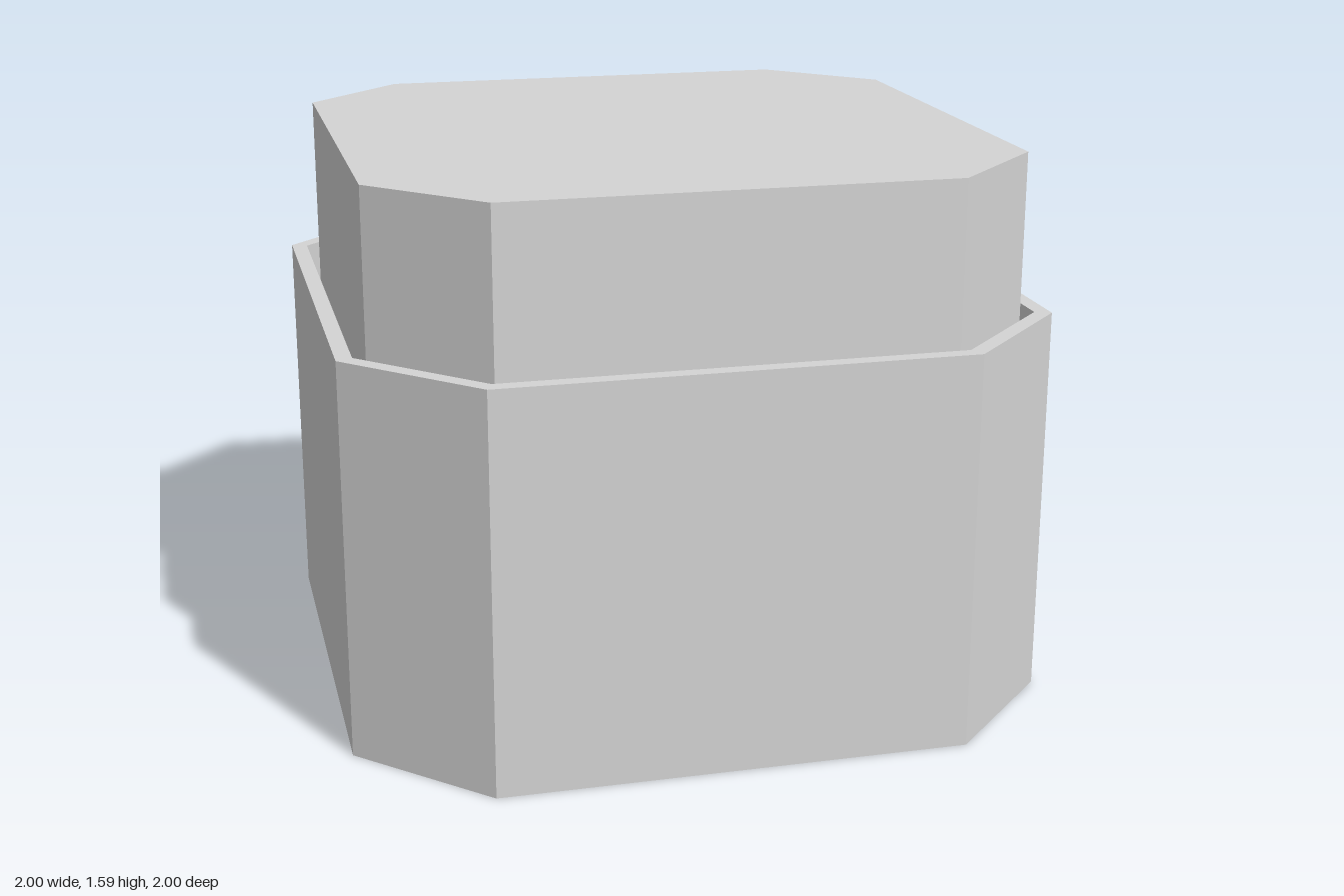
import * as THREE from 'three';

// Square outline with cut corners: half width w, half length f of each flat side
function octagon(Type, w, f) {
  const points = [
    [w, -f], [w, f], [f, w], [-f, w], [-w, f], [-w, -f], [-f, -w], [f, -w],
  ].map(([x, y]) => new THREE.Vector2(x, y));
  return new Type(points);
}

// Upright prism from height y0 to y1
function prism(name, shape, y0, y1, material) {
  const geometry = new THREE.ExtrudeGeometry(shape, { depth: y1 - y0, bevelEnabled: false });
  geometry.rotateX(-Math.PI / 2);
  geometry.translate(0, y0, 0);
  const mesh = new THREE.Mesh(geometry, material);
  mesh.name = name;
  return mesh;
}

export function createModel() {
  const group = new THREE.Group();
  group.name = 'sleeveAndPlunger';
  const grey = new THREE.MeshStandardMaterial({ color: 0xd4d4d4 });
  grey.name = 'light grey';

  // Outer sleeve, open at both ends
  const wall = octagon(THREE.Shape, 1, 0.66);
  wall.holes.push(octagon(THREE.Path, 0.955, 0.641));
  group.add(prism('outerSleeve', wall, 0, 1.13, grey));

  // Solid block sitting inside with a narrow gap all round
  group.add(prism('innerBlock', octagon(THREE.Shape, 0.918, 0.627), 0.66, 1.585, grey));

  return group;
}
